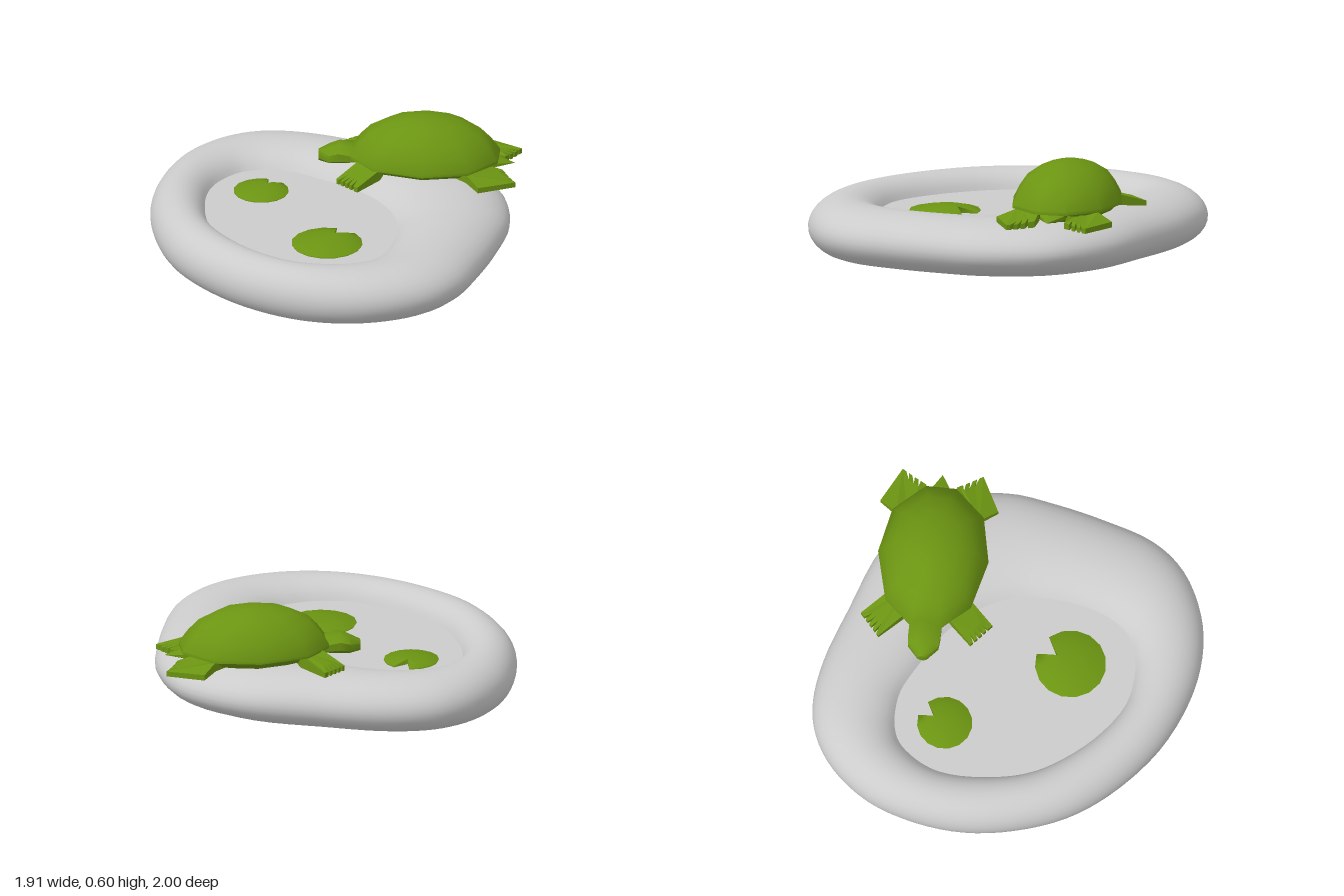
import * as THREE from 'three';
import { toCreasedNormals } from 'three/addons/utils/BufferGeometryUtils.js';

const grey = new THREE.MeshStandardMaterial({ color: 0xcccccc });
const greyThin = new THREE.MeshStandardMaterial({ color: 0xcccccc, side: THREE.DoubleSide });
const green = new THREE.MeshStandardMaterial({ color: 0x6b9412 });

// Skin a list of closed rings, each an array of [x, y, z]
function loft(rings, crease) {
  const n = rings[0].length, index = [];
  for (let i = 0; i < rings.length - 1; i++) {
    for (let j = 0; j < n; j++) {
      const a = i * n + j, b = i * n + (j + 1) % n;
      index.push(a, b, b + n, a, b + n, a + n);
    }
  }
  const geo = new THREE.BufferGeometry();
  geo.setAttribute('position', new THREE.Float32BufferAttribute(rings.flat(2), 3));
  geo.setIndex(index);
  geo.computeVertexNormals();
  return crease ? toCreasedNormals(geo, crease) : geo;
}

function part(name, geo, material = green) {
  const mesh = new THREE.Mesh(geo, material);
  mesh.name = name;
  return mesh;
}

// Smooth closed outline through [x, z] points
function outline(points, count) {
  const curve = new THREE.CatmullRomCurve3(points.map(([x, z]) => new THREE.Vector3(x, 0, z)), true);
  return Array.from({ length: count }, (_, i) => curve.getPoint(i / count));
}

// Outer edge of the rim, and the shoreline where the rim meets the water
const OUTER = [[-0.33, -1], [-0.1, -0.97], [0.2, -0.87], [0.58, -0.72], [0.85, -0.46], [0.93, -0.12],
  [0.895, 0.15], [0.83, 0.42], [0.74, 0.68], [0.6, 0.85], [0.36, 0.97], [0.13, 1], [-0.11, 0.96],
  [-0.4, 0.83], [-0.66, 0.61], [-0.82, 0.39], [-0.92, 0.12], [-0.957, -0.14], [-0.93, -0.4],
  [-0.84, -0.66], [-0.68, -0.86], [-0.5, -0.97]];
const SHORE = [[-0.38, -0.565], [-0.24, -0.55], [-0.08, -0.47], [0.1, -0.36], [0.26, -0.19], [0.35, 0.02],
  [0.355, 0.2], [0.33, 0.37], [0.27, 0.52], [0.19, 0.61], [0.08, 0.65], [-0.02, 0.66], [-0.19, 0.63],
  [-0.39, 0.49], [-0.56, 0.28], [-0.63, 0.13], [-0.665, -0.05], [-0.67, -0.23], [-0.645, -0.35],
  [-0.59, -0.45], [-0.52, -0.525], [-0.45, -0.555]];

// Pond: rounded rim swept from the water over the outside to the flat underside
function pond() {
  const group = new THREE.Group();
  group.name = 'pond';
  const outer = outline(OUTER, 88), shore = outline(SHORE, 88), rings = [];
  const start = 0.34, end = Math.PI * 2 - 0.82, steps = 26;
  for (let k = 0; k <= steps; k++) {
    const phi = start + k / steps * (end - start);
    const s = (Math.cos(start) - Math.cos(phi)) / (Math.cos(start) + 1), y = 0.15 + 0.15 * Math.sin(phi);
    rings.push(shore.map((p, i) => [p.x + (outer[i].x - p.x) * s, y, p.z + (outer[i].z - p.z) * s]));
  }
  group.add(part('rim', loft(rings), grey));
  for (const [name, edge] of [['water', rings[0]], ['pondBottom', rings[steps]]]) {
    const centre = edge.map(([, y]) => [-0.15, y, 0.05]);
    group.add(part(name, loft([centre, edge]), greyThin));
  }
  return group;
}

// Lily pad: low dome with a wedge notch, fanned from the notch's inner corner
function lilyPad(x, z, r) {
  const tip = [0.18, -0.4], edge = [tip];
  for (let i = 0; i <= 14; i++) {
    const a = -0.75 + i / 14 * (Math.PI * 2 - 0.62);
    edge.push([Math.cos(a), Math.sin(a)]);
  }
  const ring = (s, drop) => edge.map(([ex, ez]) => {
    const px = tip[0] + (ex - tip[0]) * s, pz = tip[1] + (ez - tip[1]) * s;
    const y = drop ?? 0.208 + 0.16 * r * Math.max(0, 1 - px * px - pz * pz);
    return [x + px * r, y, z + pz * r];
  });
  return part('lilyPad', loft([ring(0), ring(0.5), ring(1), ring(0.97, 0.195)]));
}

// Leg: flat outline with notched toes, sloping from hip down to foot; z mirrored by side
function leg(name, side, hip, start, toeA, toeB, end, toes, hipTop) {
  const points = [...start], lerp = THREE.MathUtils.lerp;
  const mid = [(toeA[0] + toeB[0]) / 2, (toeA[1] + toeB[1]) / 2];
  const length = Math.hypot(mid[0] - hip[0], mid[1] - hip[1]);
  for (let i = 0; i < toes; i++) {
    for (const [f, back] of [[0.08, 0], [0.65, 0], [1, 0.22]]) {
      if (i === toes - 1 && back) continue;
      const t = (i + f) / toes;
      const x = lerp(toeA[0], toeB[0], t), z = lerp(toeA[1], toeB[1], t);
      points.push([lerp(x, hip[0], back), lerp(z, hip[1], back)]);
    }
  }
  points.push(toeB, end);
  const shape = new THREE.Shape(points.map(([x, z]) => new THREE.Vector2(x, z * side)));
  const geo = new THREE.ExtrudeGeometry(shape, { depth: 1, bevelEnabled: false });
  const pos = geo.attributes.position;
  for (let i = 0; i < pos.count; i++) {
    const x = pos.getX(i), z = pos.getY(i), h = 1 - pos.getZ(i);
    const t = Math.min(1, Math.hypot(x - hip[0], z * side - hip[1]) / length);
    pos.setXYZ(i, x, lerp(lerp(0.335, 0.303, t), lerp(hipTop, 0.33, t), h), z);
  }
  geo.computeVertexNormals();
  return part(name, geo);
}

// Cross-sections along x: [x, bottom, top, halfWidth]
function body(sections) {
  return loft(sections.map(([x, lo, hi, w]) => Array.from({ length: 8 }, (_, i) => {
    const a = (i + 0.5) / 8 * Math.PI * 2;
    return [x, (lo + hi) / 2 + (hi - lo) * 0.54 * Math.cos(a), w * 1.08 * Math.sin(a)];
  })), 0.9);
}

function turtle() {
  const group = new THREE.Group();
  group.name = 'turtle';
  group.position.z = -0.45;

  // Shell and belly share one ten-sided outline
  const half = [[0.845, 0.08], [0.7, 0.24], [0.46, 0.29], [0.2, 0.225], [0.07, 0.08]];
  const rim = [...half, ...half.map(([x, z]) => [x, -z]).reverse()];
  const layers = (list) => list.map(([s, y]) => rim.map(([x, z]) => [0.455 + (x - 0.455) * s, y, z * s]));
  group.add(part('shell', loft(layers([[0, 0.597], [0.22, 0.589], [0.48, 0.565], [0.74, 0.513],
    [0.88, 0.455], [1, 0.388], [1, 0.372], [0.9, 0.365]]), 0.8)));
  group.add(part('belly', loft(layers([[0.92, 0.37], [0.8, 0.335], [0.6, 0.308], [0, 0.305]]), 0.5)));

  group.add(part('head', body([[-0.1, 0.36, 0.36, 0], [-0.1, 0.328, 0.385, 0.025], [-0.04, 0.322, 0.41, 0.08],
    [0.01, 0.325, 0.43, 0.085], [0.08, 0.33, 0.412, 0.085], [0.22, 0.335, 0.4, 0.085]])));
  group.add(part('tail', body([[0.74, 0.33, 0.39, 0.08], [0.83, 0.33, 0.375, 0.06], [0.93, 0.345, 0.345, 0]])));

  for (const side of [1, -1]) {
    group.add(leg('frontLeg', side, [0.2, 0.14], [[0.26, 0.12], [0.12, 0.12]],
      [0.01, 0.24], [0.13, 0.345], [0.24, 0.22], 5, 0.42));
    group.add(leg('backLeg', side, [0.72, 0.14], [[0.62, 0.15], [0.69, 0.22], [0.76, 0.31]],
      [0.95, 0.215], [0.87, 0.08], [0.76, 0.08], 4, 0.4));
  }
  return group;
}

export function createModel() {
  const model = new THREE.Group();
  model.name = 'turtlePond';
  model.add(pond(), lilyPad(0.005, 0.32, 0.187), lilyPad(-0.39, -0.3, 0.145), turtle());
  return model;
}
